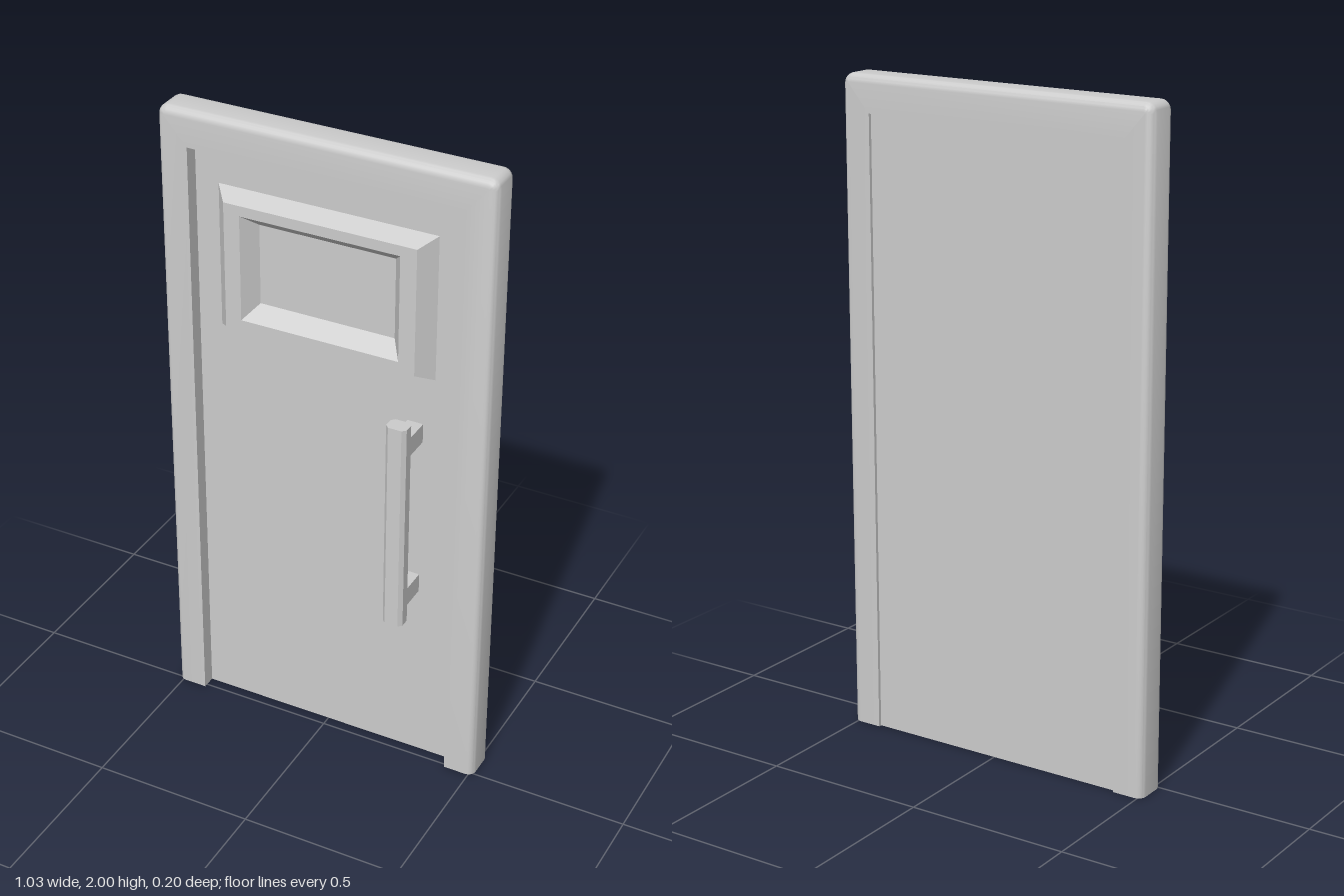
import * as THREE from 'three';
import { toCreasedNormals } from 'three/addons/utils/BufferGeometryUtils.js';

const material = new THREE.MeshStandardMaterial({ color: 0xcccccc });

// Skin a grid of points: each row is one cross-section, joined to the next row.
function loft(rows, closeRows, closeSection) {
  const positions = [];
  const triangle = (a, b, c) => {
    const area = b.clone().sub(a).cross(c.clone().sub(a)).length();
    if (area > 1e-9) [a, b, c].forEach(p => positions.push(p.x, p.y, p.z));
  };
  const n = rows[0].length;
  for (let i = 0; i < rows.length - (closeRows ? 0 : 1); i++) {
    const lower = rows[i], upper = rows[(i + 1) % rows.length];
    for (let j = 0; j < n - (closeSection ? 0 : 1); j++) {
      const k = (j + 1) % n;
      triangle(lower[j], lower[k], upper[k]);
      triangle(lower[j], upper[k], upper[j]);
    }
  }
  const geometry = new THREE.BufferGeometry();
  geometry.setAttribute('position', new THREE.Float32BufferAttribute(positions, 3));
  return toCreasedNormals(geometry, 0.6);
}

function addMesh(parent, name, geometry, x = 0, y = 0, z = 0) {
  const mesh = new THREE.Mesh(geometry, material);
  mesh.name = name;
  mesh.position.set(x, y, z);
  parent.add(mesh);
  return mesh;
}

// Door frame: rounded outer edges, sharp inner edges, open at the floor.
function buildFrame() {
  const group = new THREE.Group();
  group.name = 'doorFrame';
  const halfW = 0.515, height = 2, innerX = 0.42, innerY = 1.89;
  const front = 0.012, back = -0.1, round = 0.025, corner = 0.03, steps = 5;

  // Section from the front inner edge, around the outside, to the back inner edge
  const section = [];
  for (let i = 0; i <= steps; i++) {
    const a = (i / steps) * Math.PI / 2;
    section.push({ inset: round * (1 - Math.sin(a)), z: front - round * (1 - Math.cos(a)) });
  }
  for (let i = 0; i <= steps; i++) {
    const a = (i / steps) * Math.PI / 2;
    section.push({ inset: round * (1 - Math.cos(a)), z: back + round * (1 - Math.sin(a)) });
  }

  const station = (side, angle, onFloor) => {
    const outer = section.map(({ inset, z }) => new THREE.Vector3(
      side * (halfW - corner) + Math.cos(angle) * (corner - inset),
      onFloor ? 0 : height - corner + Math.sin(angle) * (corner - inset), z));
    const y = onFloor ? 0 : innerY;
    return [new THREE.Vector3(side * innerX, y, front), ...outer,
      new THREE.Vector3(side * innerX, y, back)];
  };
  const rows = [station(1, 0, true)];
  for (const side of [1, -1]) {
    for (let i = 0; i <= steps; i++) {
      rows.push(station(side, (side > 0 ? 0 : Math.PI / 2) + (i / steps) * Math.PI / 2, false));
    }
  }
  rows.push(station(-1, Math.PI, true));
  addMesh(group, 'frameBody', loft(rows, false, true));

  // Feet of the two posts
  for (const row of [rows[0], rows[rows.length - 1]]) {
    const shape = new THREE.Shape(row.map(p => new THREE.Vector2(p.x, p.z)));
    addMesh(group, 'frameFoot', new THREE.ShapeGeometry(shape).rotateX(Math.PI / 2));
  }
  return group;
}

// Raised window surround: bevelled outside, flat face, sloped inner reveal.
function buildWindowTrim(panelZ) {
  const section = [
    [0.212, 0.125, panelZ],
    [0.248, 0.165, 0.018],
    [0.298, 0.197, 0.018],
    [0.34, 0.225, panelZ],
  ];
  const rows = [[1, -1], [1, 1], [-1, 1], [-1, -1]].map(([sx, sy]) =>
    section.map(([w, h, z]) => new THREE.Vector3(sx * w, sy * h, z)));
  return loft(rows, true, false);
}

// Pull handle: chamfered upright bar on two square mounts.
function buildHandle(panelZ) {
  const group = new THREE.Group();
  group.name = 'handle';
  const w = 0.032, d = 0.025, c = 0.011, x = 0.274;
  const outline = new THREE.Shape([
    [w, -d + c], [w, d - c], [w - c, d], [-w + c, d],
    [-w, d - c], [-w, -d + c], [-w + c, -d], [w - c, -d],
  ].map(([px, py]) => new THREE.Vector2(px, py)));
  const bar = new THREE.ExtrudeGeometry(outline, { depth: 0.675, bevelEnabled: false });
  addMesh(group, 'handleBar', bar.rotateX(-Math.PI / 2), x, 0.55, 0.075);
  const depth = 0.055 - panelZ;
  for (const y of [0.625, 1.146]) {
    addMesh(group, 'handleMount', new THREE.BoxGeometry(0.05, 0.06, depth), x, y, panelZ + depth / 2);
  }
  return group;
}

export function createModel() {
  const model = new THREE.Group();
  model.name = 'door';
  const panelFront = -0.032, panelBack = -0.09;
  model.add(buildFrame());
  addMesh(model, 'doorPanel', new THREE.BoxGeometry(0.84, 1.89, panelFront - panelBack),
    0, 0.945, (panelFront + panelBack) / 2);
  addMesh(model, 'windowTrim', buildWindowTrim(panelFront), -0.007, 1.555, 0);
  model.add(buildHandle(panelFront));
  return model;
}
